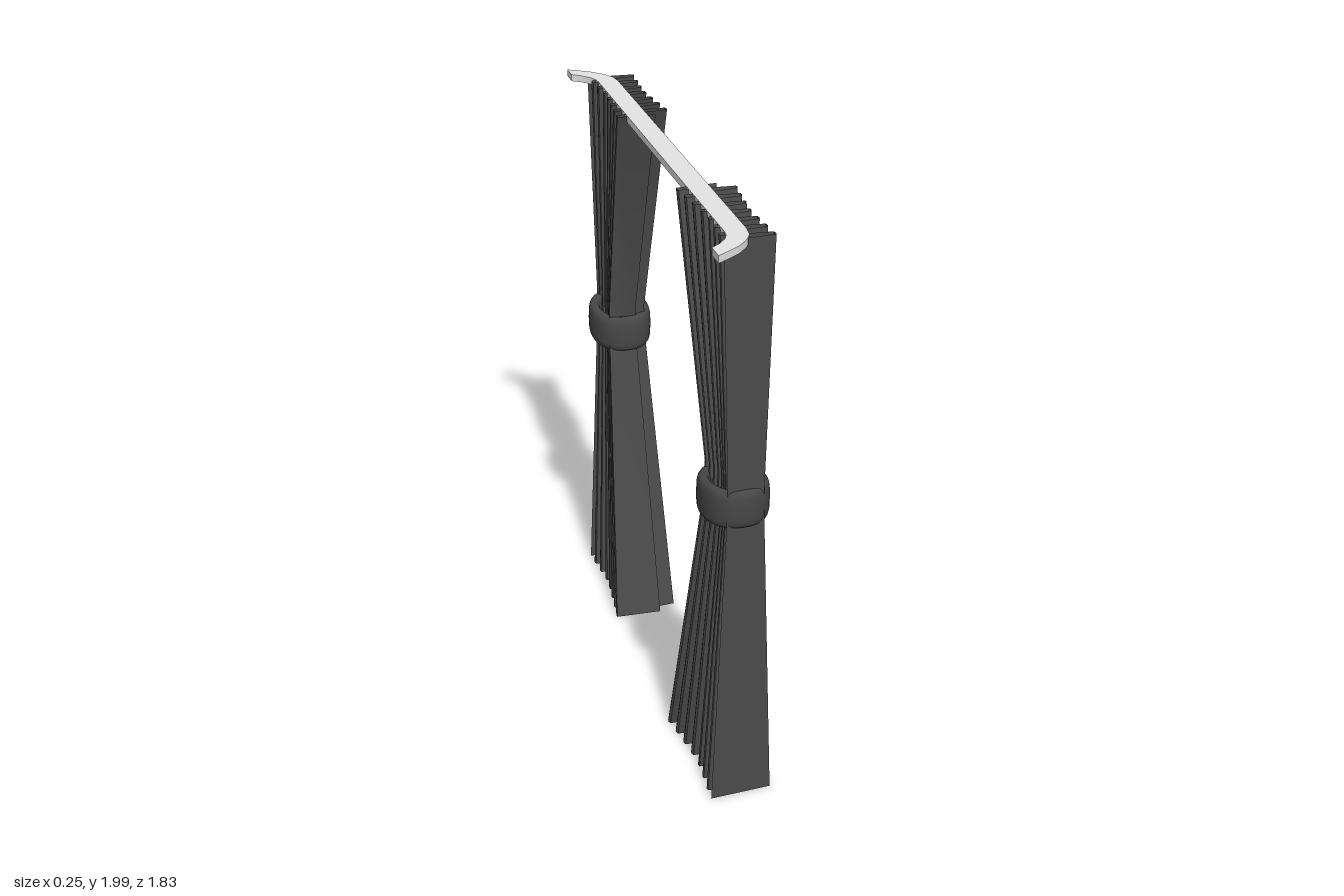
import * as THREE from 'three';
import { toCreasedNormals } from 'three/addons/utils/BufferGeometryUtils.js';

const FOLDS = 7;

// Curtain levels: height, fold half-depth in x, outer z and inner z
const LEVELS = [
  { y: 0.008, depth: 0.123, outer: 0.82, inner: 0.343 },
  { y: 1.02, depth: 0.075, outer: 0.815, inner: 0.582 },
  { y: 1.17, depth: 0.072, outer: 0.813, inner: 0.597 },
  { y: 1.998, depth: 0.097, outer: 0.812, inner: 0.346 },
];

// Grid of points joined into a surface; flip reverses the facing
function gridGeometry(rows, closed, flip) {
  const n = rows[0].length;
  const index = [];
  const count = closed ? rows.length : rows.length - 1;
  for (let r = 0; r < count; r++) {
    const q = (r + 1) % rows.length;
    for (let c = 0; c < (closed ? n : n - 1); c++) {
      const d = (c + 1) % n;
      const a = r * n + c, b = r * n + d, e = q * n + c, f = q * n + d;
      if (flip) index.push(a, e, b, b, e, f);
      else index.push(a, b, e, b, f, e);
    }
  }
  const g = new THREE.BufferGeometry();
  g.setAttribute('position', new THREE.Float32BufferAttribute(rows.flat(2), 3));
  g.setIndex(index);
  g.computeVertexNormals();
  return g;
}

// Folds are shallower through the middle than at the two edges
function foldDepth(t) {
  return t < 0.45
    ? THREE.MathUtils.lerp(0.88, 0.74, t / 0.45)
    : THREE.MathUtils.lerp(0.74, 1, (t - 0.45) / 0.55);
}

// Pleated sheet gathered at the waist
function curtainGeometry(side) {
  const pleat = [];
  for (let k = 0; k < FOLDS; k++) {
    pleat.push([-0.97, k], [0.97, k + 0.18], [1, k + 0.34], [0.97, k + 0.5], [-0.97, k + 0.68], [-1, k + 0.84]);
  }
  pleat.push([-0.97, FOLDS], [0.4, FOLDS + 0.1]);
  const rows = LEVELS.map((l) => pleat.map(([x, u]) => {
    const t = u / (FOLDS + 0.1);
    return [x * l.depth * foldDepth(t), l.y, side * THREE.MathUtils.lerp(l.outer, l.inner, t)];
  }));
  return toCreasedNormals(gridGeometry(rows, false, side < 0), 0.7);
}

// Puffy band around the waist, slightly higher on the outer side
function tieGeometry(side) {
  const power = (v, p) => Math.sign(v) * Math.abs(v) ** p;
  const rows = [];
  for (let i = 0; i < 40; i++) {
    const t = (i / 40) * Math.PI * 2;
    const cx = power(Math.cos(t), 0.9), cz = power(Math.sin(t), 0.9);
    const row = [];
    for (let j = 0; j < 16; j++) {
      const a = (j / 16) * Math.PI * 2;
      const out = 0.022 * power(Math.cos(a), 0.7);
      const z = cz * (0.112 + out);
      row.push([
        -0.006 + cx * (0.09 + out),
        1.09 + 0.066 * power(Math.sin(a), 0.6) + 0.07 * z,
        side * (0.697 + z),
      ]);
    }
    rows.push(row);
  }
  return gridGeometry(rows, true, side < 0);
}

// Flat rail whose ends curve back toward the wall
function railGeometry() {
  const outer = [[0.01, 0.74], [0.004, 0.785], [-0.018, 0.825], [-0.055, 0.865], [-0.095, 0.893], [-0.132, 0.917]];
  const inner = [[-0.132, 0.853], [-0.1, 0.828], [-0.075, 0.798], [-0.063, 0.77], [-0.06, 0.74]];
  const half = [...outer, ...inner];
  const mirrored = half.map(([x, z]) => [x, -z]).reverse();
  const shape = new THREE.Shape([...half, ...mirrored].map(([x, z]) => new THREE.Vector2(x, -z)));
  const g = new THREE.ExtrudeGeometry(shape, { depth: 0.024, bevelEnabled: false });
  g.rotateX(-Math.PI / 2);
  g.translate(0, 1.976, 0);
  return toCreasedNormals(g, 0.5);
}

export function createModel() {
  const fabric = new THREE.MeshStandardMaterial({ color: 0x4a4a4a, side: THREE.DoubleSide });
  fabric.name = 'charcoal fabric';
  const band = new THREE.MeshStandardMaterial({ color: 0x474747 });
  band.name = 'dark band';
  const metal = new THREE.MeshStandardMaterial({ color: 0xe4e4e4 });
  metal.name = 'pale metal';

  const model = new THREE.Group();
  model.name = 'curtains';
  const add = (name, geometry, material) => {
    const mesh = new THREE.Mesh(geometry, material);
    mesh.name = name;
    model.add(mesh);
  };

  add('rail', railGeometry(), metal);
  for (const [side, label] of [[1, 'front'], [-1, 'back']]) {
    add(label + 'Curtain', curtainGeometry(side), fabric);
    add(label + 'TieBand', tieGeometry(side), band);
  }
  return model;
}
